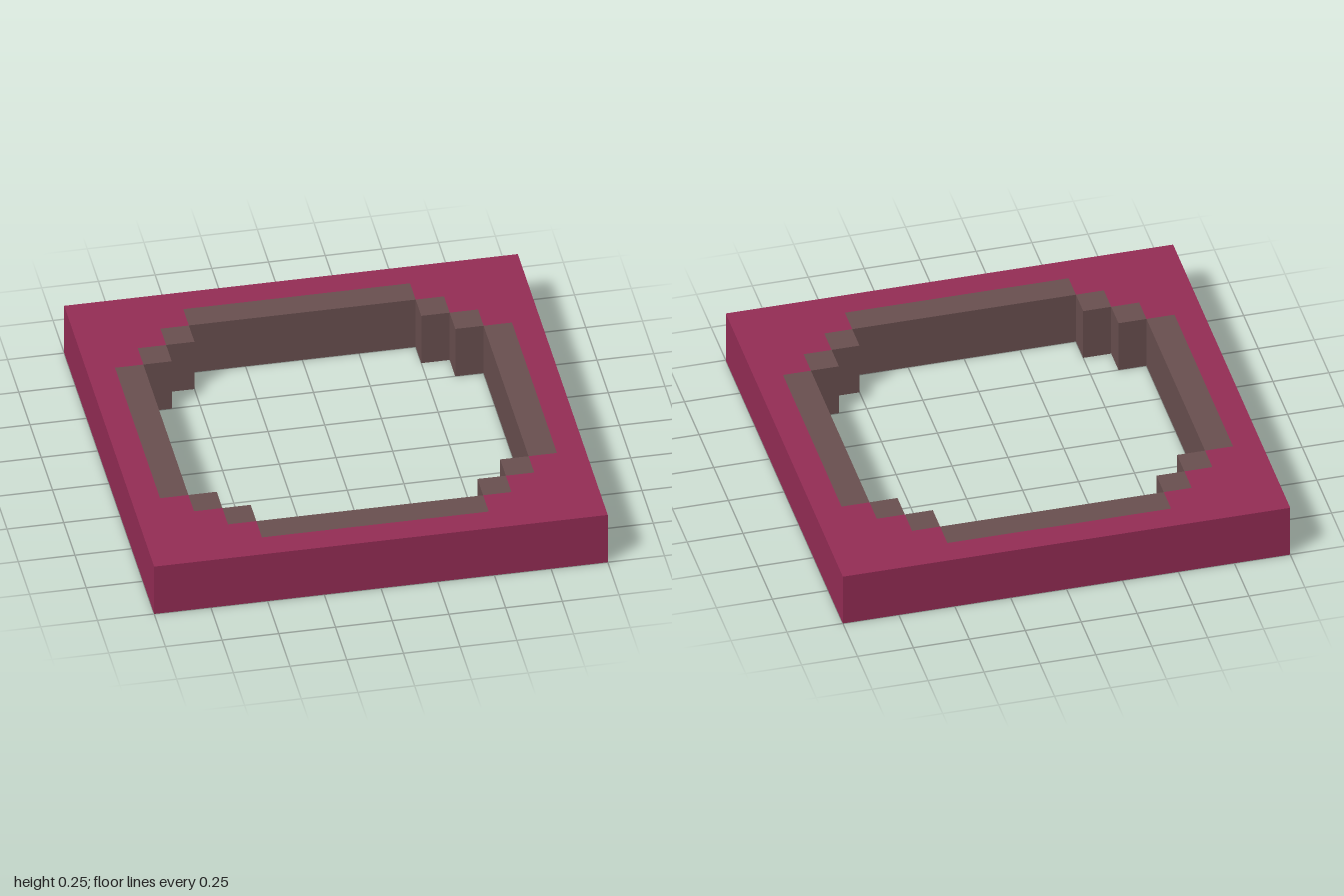
import * as THREE from 'three';

const HEIGHT = 0.25;
const CELL = 0.125;

export function createModel() {
  const model = new THREE.Group();
  model.name = 'squareFrame';

  const crimson = new THREE.MeshStandardMaterial({ color: 0x962d56 });
  crimson.name = 'crimson';
  const brown = new THREE.MeshStandardMaterial({ color: 0x6a5050 });
  brown.name = 'greyBrown';

  // Square outer frame with a stepped opening
  const shape = new THREE.Shape([[-1, -1], [1, -1], [1, 1], [-1, 1]].map(([x, y]) => new THREE.Vector2(x, y)));
  const corner = [[7, 4], [6, 4], [6, 5], [5, 5], [5, 6], [4, 6], [4, 7]]; // one quarter, in cells
  const outline = [];
  for (let q = 0; q < 4; q++) {
    for (const [x, y] of corner) {
      const [c, s] = [[1, 0], [0, 1], [-1, 0], [0, -1]][q];
      outline.push(new THREE.Vector2((x * c - y * s) * CELL, (x * s + y * c) * CELL));
    }
  }
  shape.holes.push(new THREE.Path(outline));
  const frameGeometry = new THREE.ExtrudeGeometry(shape, { depth: HEIGHT, bevelEnabled: false });
  frameGeometry.rotateX(-Math.PI / 2);
  const frame = new THREE.Mesh(frameGeometry, crimson);
  frame.name = 'outerFrame';
  model.add(frame);

  // Lining of the opening: straight bars and corner steps
  const lining = new THREE.Group();
  lining.name = 'innerLining';
  model.add(lining);
  const addBlock = (name, x, z, width, depth) => {
    const block = new THREE.Mesh(new THREE.BoxGeometry(width, HEIGHT, depth), brown);
    block.name = name;
    block.position.set(x, HEIGHT / 2, z);
    lining.add(block);
  };
  for (const side of [-1, 1]) {
    addBlock('sideBar', side * 6.5 * CELL, 0, CELL, 1);
    addBlock('endBar', 0, side * 6.5 * CELL, 1, CELL);
    for (const end of [-1, 1]) {
      addBlock('cornerStep', side * 5.5 * CELL, end * 4.5 * CELL, CELL, CELL);
      addBlock('cornerStep', side * 4.5 * CELL, end * 5.5 * CELL, CELL, CELL);
    }
  }

  return model;
}
